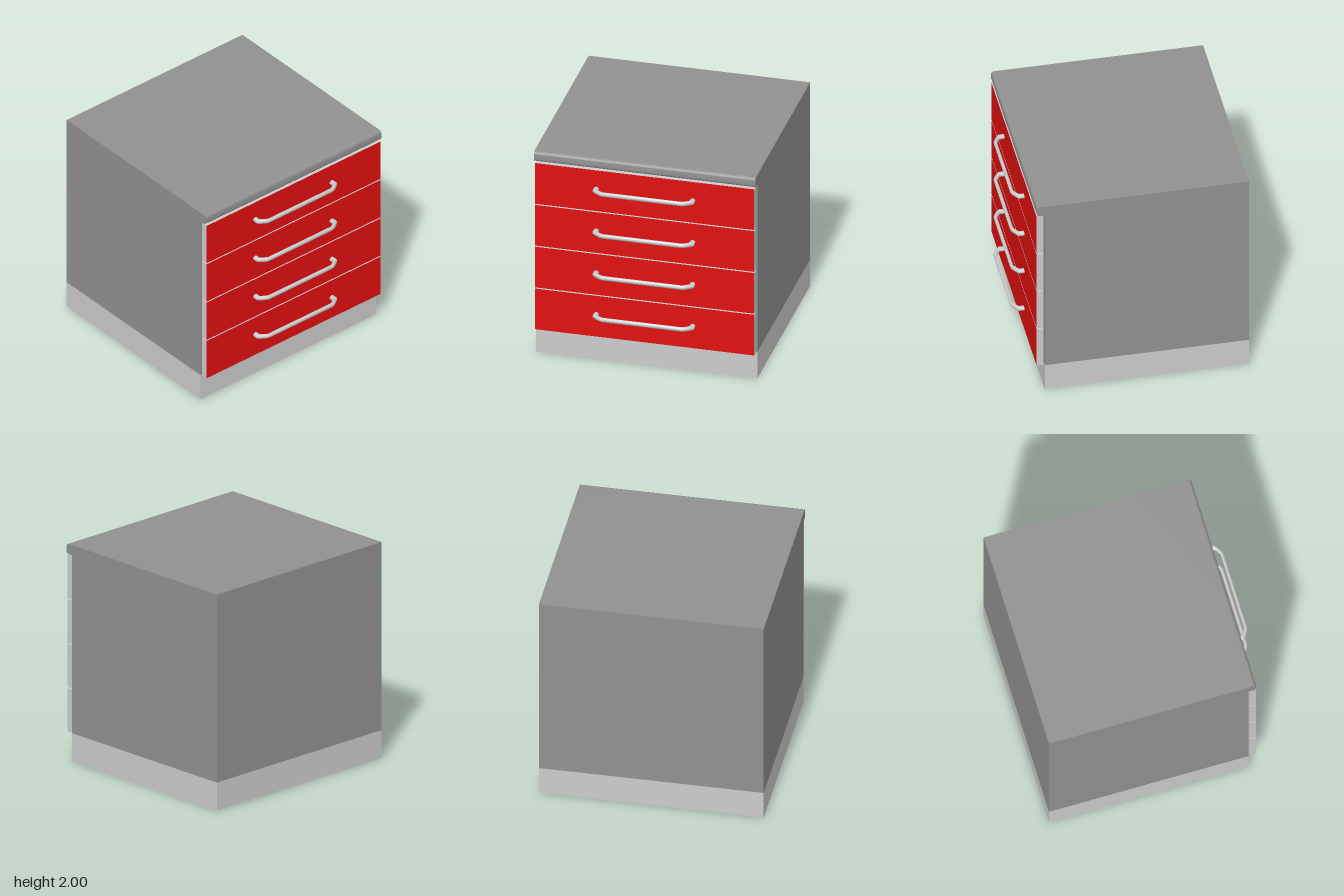
import * as THREE from 'three';
import { toCreasedNormals } from 'three/addons/utils/BufferGeometryUtils.js';

const paint = (color) => new THREE.MeshStandardMaterial({ color });
const light = paint(0xcccccc);
const dark = paint(0x919191);
const red = paint(0xe11010);

function box(name, material, [x0, x1], [y0, y1], [z0, z1]) {
  const geometry = new THREE.BoxGeometry(x1 - x0, y1 - y0, z1 - z0);
  const mesh = new THREE.Mesh(geometry, material);
  mesh.position.set((x0 + x1) / 2, (y0 + y1) / 2, (z0 + z1) / 2);
  mesh.name = name;
  return mesh;
}

// Slab with a rounded front nosing, drawn from the side and extruded across x
function worktop() {
  const back = -1, front = 0.89, bottom = 1.904, top = 2, r = 0.028;
  const side = new THREE.Shape();
  side.moveTo(back, bottom);
  side.lineTo(front - r, bottom);
  side.absarc(front - r, bottom + r, r, -Math.PI / 2, 0, false);
  side.lineTo(front, top - r);
  side.absarc(front - r, top - r, r, 0, Math.PI / 2, false);
  side.lineTo(back, top);
  const geometry = new THREE.ExtrudeGeometry(side, { depth: 2, bevelEnabled: false, curveSegments: 8 });
  geometry.rotateY(-Math.PI / 2).translate(1, 0, 0);
  const mesh = new THREE.Mesh(toCreasedNormals(geometry, 0.6), dark);
  mesh.name = 'worktop';
  return mesh;
}

// Bow handle: elliptical rings spanning the outer and inner edge of the bent bar
function handleGeometry() {
  const sides = 12, halfHeight = 0.0215;
  // outer x, outer z, inner x, inner z
  const half = [
    [-0.459, 0.88, -0.411, 0.88],
    [-0.459, 0.938, -0.411, 0.928],
    [-0.438, 0.957, -0.396, 0.942],
    [-0.385, 0.991, -0.368, 0.96],
    [-0.36, 0.998, -0.352, 0.967],
  ];
  const mirrored = half.map(([ox, oz, ix, iz]) => [-ox, oz, -ix, iz]).reverse();
  const rings = [...half, ...mirrored];
  const positions = [], index = [];
  rings.forEach(([ox, oz, ix, iz], s) => {
    for (let k = 0; k < sides; k++) {
      const a = (k / sides) * Math.PI * 2, c = Math.cos(a) / 2;
      positions.push((ox + ix) / 2 + (ox - ix) * c, halfHeight * Math.sin(a), (oz + iz) / 2 + (oz - iz) * c);
      if (s === rings.length - 1) continue;
      const p = s * sides + k, q = s * sides + ((k + 1) % sides);
      index.push(p, p + sides, q, q, p + sides, q + sides);
    }
  });
  const geometry = new THREE.BufferGeometry();
  geometry.setAttribute('position', new THREE.Float32BufferAttribute(positions, 3));
  geometry.setIndex(index);
  return toCreasedNormals(geometry, 0.7);
}

export function createModel() {
  const model = new THREE.Group();
  model.name = 'drawerCabinet';

  // Carcass
  model.add(box('plinth', light, [-1, 1], [0, 0.26], [-1, 0.82]));
  model.add(box('body', dark, [-1, 1], [0.26, 1.904], [-1, 0.82]));
  model.add(worktop());

  // Four drawers: grey panels with a red front face, each with a handle
  const bar = handleGeometry();
  const panelMaterials = [light, light, light, light, red, light];
  for (let i = 0; i < 4; i++) {
    const bottom = 0.258 + i * 0.411;
    const drawer = new THREE.Group();
    drawer.name = `drawer${i + 1}`;
    drawer.add(box('drawerFront', panelMaterials, [-0.99, 0.99], [bottom, bottom + 0.4], [0.828, 0.89]));
    const handle = new THREE.Mesh(bar, light);
    handle.name = 'handle';
    handle.position.y = bottom + 0.219;
    drawer.add(handle);
    model.add(drawer);
  }
  return model;
}
